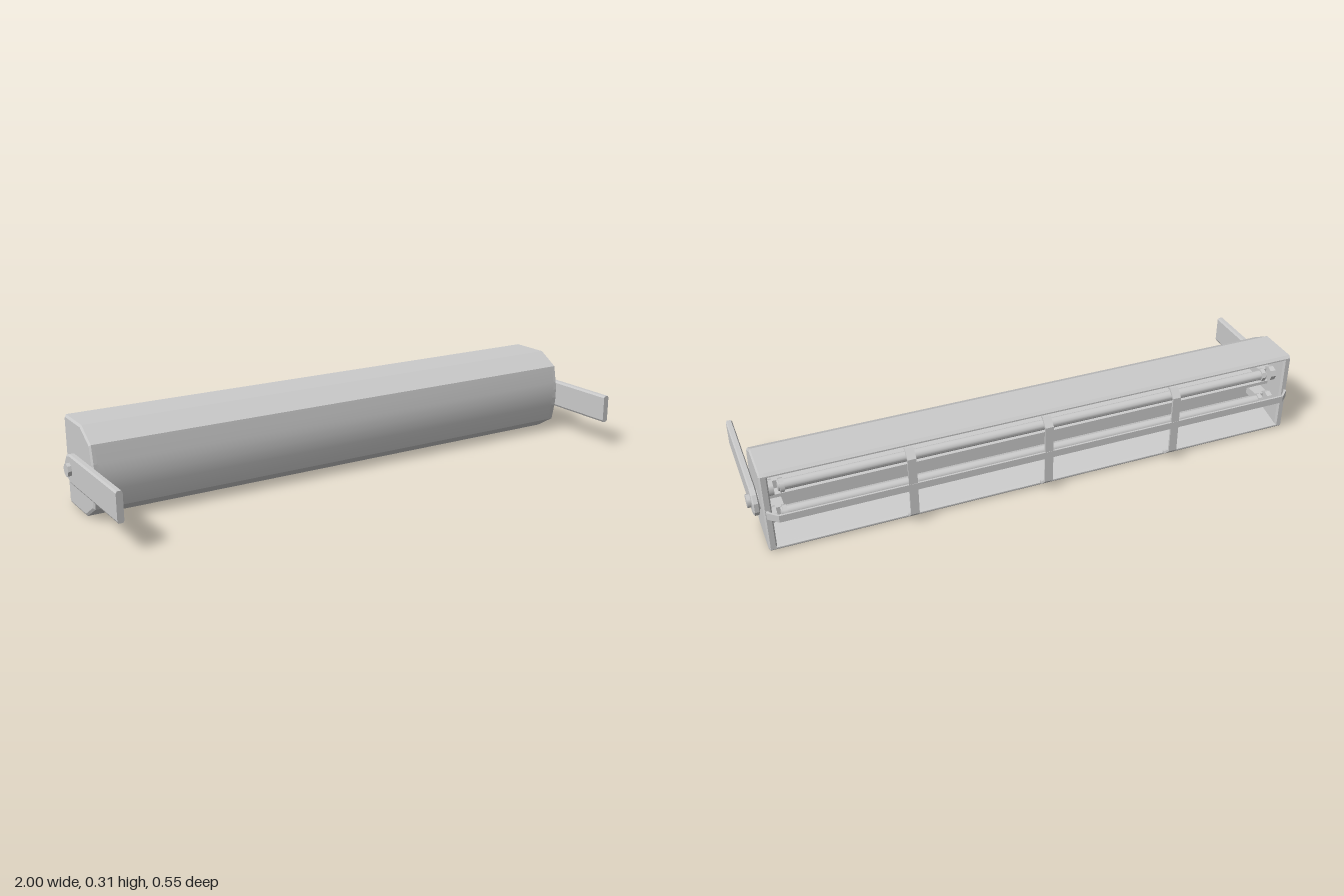
import * as THREE from 'three';
import { toCreasedNormals } from 'three/addons/utils/BufferGeometryUtils.js';

const material = new THREE.MeshStandardMaterial({ color: 0xcccccc });
const MID_Y = 0.154;
const LAMP_Z = -0.17;
const LAMP_HEIGHTS = [0.1, 0.208];

// Extrude a [z, y] outline along x, from x0 to x1, optionally with chamfered ends.
function extrudeX(points, x0, x1, chamfer = 0, inset = chamfer) {
  const shape = new THREE.Shape(points.map(([z, y]) => new THREE.Vector2(-z, y)));
  const geometry = new THREE.ExtrudeGeometry(shape, {
    depth: x1 - x0 - 2 * chamfer, bevelEnabled: chamfer > 0, bevelSegments: 1,
    bevelThickness: chamfer, bevelSize: inset, bevelOffset: -inset,
  });
  geometry.translate(0, 0, x0 + chamfer);
  geometry.rotateY(Math.PI / 2);
  return geometry;
}

function cylinderX(radius, x0, x1, y, z, sides) {
  const geometry = new THREE.CylinderGeometry(radius, radius, x1 - x0, sides);
  geometry.rotateZ(Math.PI / 2);
  geometry.translate((x0 + x1) / 2, y, z);
  return geometry;
}

// Complete a [z, y] half outline, listed from the top down, with its mirror image.
function mirrored(half) {
  return [...half, ...half.map(([z, y]) => [z, 2 * MID_Y - y]).reverse()];
}

// Arm with a chamfer along its long edges and round the pivot, but a square free end
function armGeometry() {
  const geometry = extrudeX([
    [0.273, 0.2], [-0.138, 0.2], [-0.168, 0.19], [-0.185, 0.166],
    [-0.185, 0.132], [-0.168, 0.108], [-0.138, 0.098], [0.273, 0.098],
  ], 0.965, 0.987, 0.004, 0.007);
  const position = geometry.attributes.position;
  for (let i = 0; i < position.count; i++) if (position.getZ(i) > 0.2) position.setZ(i, 0.273);
  geometry.computeVertexNormals();
  return geometry;
}

export function createModel() {
  const model = new THREE.Group();
  function add(name, geometry, parent = model) {
    const mesh = new THREE.Mesh(geometry, material);
    mesh.name = name;
    parent.add(mesh);
  }

  // Housing with a double-trough reflector, open at the back
  const outline = mirrored([
    [-0.235, 0.299], [-0.226, 0.308], [-0.08, 0.308], [-0.003, 0.262], [0.01, 0.2], [0.0135, 0.17],
  ]);
  const reflector = mirrored([
    [-0.235, 0.294], [-0.225, 0.29], [-0.11, 0.262], [-0.095, 0.24], [-0.095, 0.195], [-0.15, 0.16],
  ]);
  const housing = extrudeX([...outline, ...reflector.reverse()], -0.945, 0.945);
  add('housing', toCreasedNormals(housing, 0.2));

  // Two lamp tubes
  for (const y of LAMP_HEIGHTS) {
    add('lampTube', toCreasedNormals(cylinderX(0.018, -0.9, 0.9, y, LAMP_Z, 16), 0.6));
  }

  // End plates, lamp sockets and mounting arms
  for (const side of [1, -1]) {
    const end = new THREE.Group();
    end.name = side > 0 ? 'leftEnd' : 'rightEnd';
    add('endPlate', extrudeX(outline, 0.935, 0.962, 0.005, 0.008), end);
    for (const y of LAMP_HEIGHTS) {
      add('lampSocket', cylinderX(0.027, 0.915, 0.94, y, LAMP_Z, 8), end);
      add('socketCollar', cylinderX(0.024, 0.88, 0.895, y, LAMP_Z, 8), end);
      add('socketBracket', new THREE.BoxGeometry(0.05, 0.03, 0.07).translate(0.91, y, -0.125), end);
    }
    add('armSpacer', cylinderX(0.035, 0.955, 0.97, 0.149, -0.135, 12), end);
    add('mountingArm', armGeometry(), end);
    add('armBolt', cylinderX(0.023, 0.98, 1, 0.149, -0.135, 8), end);
    // Mirror the vertices across x, reversing each triangle to keep it facing outwards
    if (side < 0) {
      for (const part of end.children) {
        const geometry = part.geometry.index ? part.geometry.toNonIndexed() : part.geometry;
        geometry.scale(-1, 1, 1);
        const position = geometry.attributes.position;
        const a = new THREE.Vector3(), b = new THREE.Vector3();
        for (let i = 0; i < position.count; i += 3) {
          a.fromBufferAttribute(position, i);
          b.fromBufferAttribute(position, i + 1);
          position.setXYZ(i, b.x, b.y, b.z);
          position.setXYZ(i + 1, a.x, a.y, a.z);
        }
        geometry.computeVertexNormals();
        part.geometry = geometry;
      }
    }
    model.add(end);
  }

  // Vertical guard straps across the opening
  const strap = [
    ...mirrored([[-0.23, 0.293], [-0.244, 0.293], [-0.272, 0.265]]),
    ...mirrored([[-0.23, 0.286], [-0.241, 0.286], [-0.265, 0.262]]).reverse(),
  ];
  for (const x of [-0.48, 0, 0.48]) add('guardStrap', extrudeX(strap, x - 0.015, x + 0.015));

  // Long guard bar along the middle, bent in at both ends
  const bar = [
    [-0.955, 0.23], [-0.955, 0.243], [-0.922, 0.273], [0.922, 0.273], [0.955, 0.243], [0.955, 0.23],
    [0.947, 0.23], [0.947, 0.24], [0.919, 0.266], [-0.919, 0.266], [-0.947, 0.24], [-0.947, 0.23],
  ];
  const barShape = new THREE.Shape(bar.map(([x, z]) => new THREE.Vector2(x, z)));
  const barGeometry = new THREE.ExtrudeGeometry(barShape, { depth: 0.026, bevelEnabled: false });
  barGeometry.rotateX(-Math.PI / 2);
  barGeometry.translate(0, MID_Y - 0.013, 0);
  add('guardBar', barGeometry);

  return model;
}
